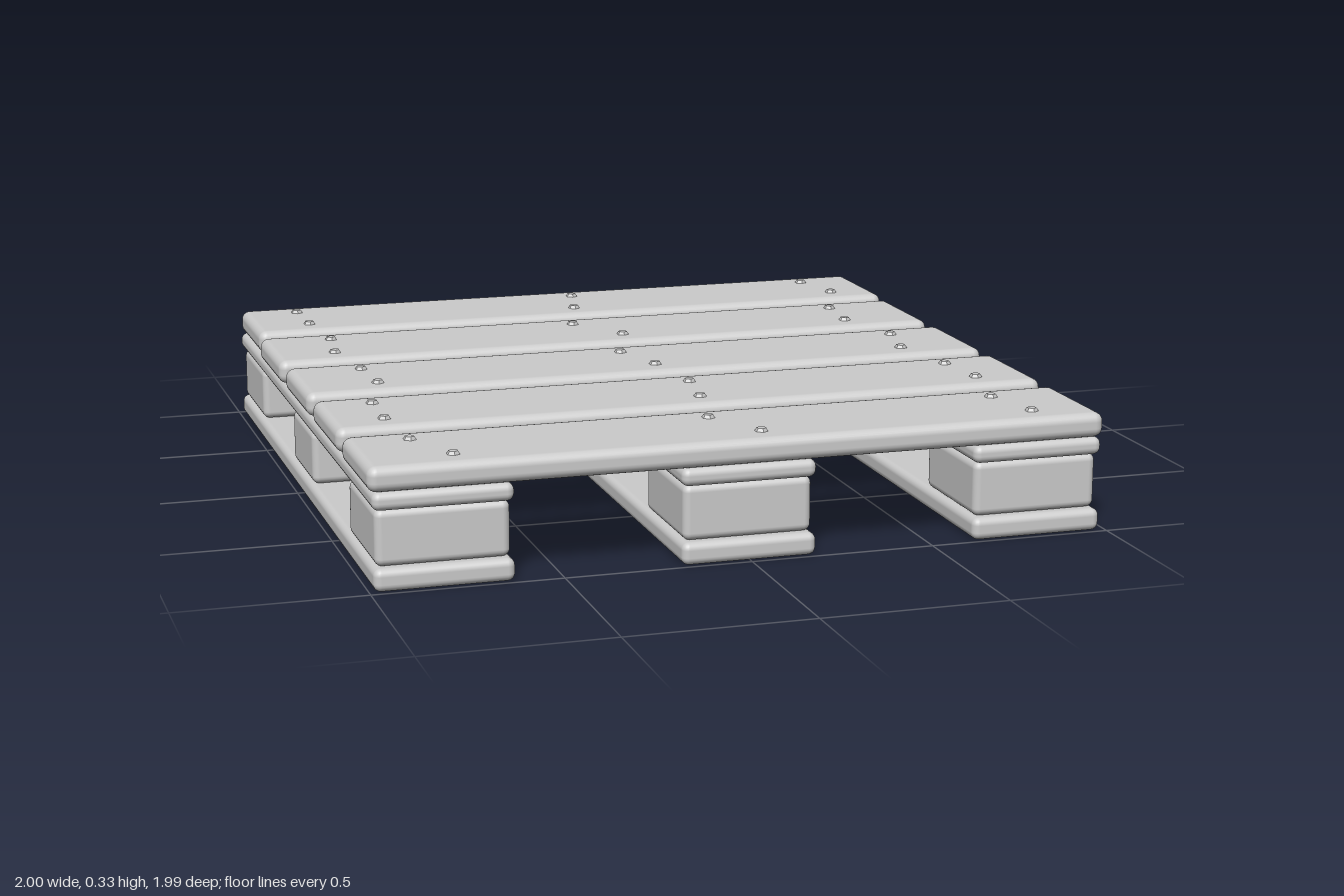
import * as THREE from 'three';
import { RoundedBoxGeometry } from 'three/addons/geometries/RoundedBoxGeometry.js';

const material = new THREE.MeshStandardMaterial({ color: 0xcccccc });
const nailMaterial = new THREE.MeshStandardMaterial({ color: 0xcccccc, flatShading: true });

// Rounded timber given by its centre in x and z, its bottom and top heights
function timber(name, width, depth, bottom, top, x, z, radius) {
  const geometry = new RoundedBoxGeometry(width, top - bottom, depth, 3, radius);
  const mesh = new THREE.Mesh(geometry, material);
  mesh.name = name;
  mesh.position.set(x, (bottom + top) / 2, z);
  return mesh;
}

export function createModel() {
  const pallet = new THREE.Group();
  pallet.name = 'pallet';

  // Three runners: bottom plank, three blocks, upper stringer
  for (const x of [-0.807, -0.003, 0.8]) {
    const runner = new THREE.Group();
    runner.name = 'runner';
    runner.add(timber('bottomPlank', 0.364, 1.99, 0, 0.06, x, 0, 0.02));
    runner.add(timber('upperStringer', 0.364, 1.985, 0.208, 0.256, x, 0, 0.02));
    for (const [z, depth] of [[-0.807, 0.33], [0, 0.296], [0.81, 0.33]]) {
      runner.add(timber('block', 0.348, depth, 0.06, 0.208, x, z, 0.02));
    }
    pallet.add(runner);
  }

  // Deck boards, back to front, each slightly shifted sideways
  const shifts = [0.007, -0.006, -0.004, -0.004, -0.007];
  // Nail x positions: back row then front row of every board
  const nails = [
    [[-0.826, 0.051, 0.82], [-0.82, 0.01, 0.858]],
    [[-0.8, -0.06, 0.765], [-0.823, 0.045, 0.749]],
    [[-0.794, -0.032, 0.805], [-0.783, 0.019, 0.767]],
    [[-0.848, 0.045, 0.807], [-0.853, 0.019, 0.826]],
    [[-0.837, -0.035, 0.77], [-0.765, 0.051, 0.81]],
  ];
  const nailGeometry = new THREE.CylinderGeometry(0.013, 0.021, 0.014, 6);

  shifts.forEach((shift, i) => {
    const z = (i - 2) * 0.4125;
    const deck = new THREE.Group();
    deck.name = 'deckRow';
    deck.add(timber('deckBoard', 1.986, 0.343, 0.256, 0.323, shift, z, 0.025));
    nails[i].forEach((row, j) => {
      for (const x of row) {
        const nail = new THREE.Mesh(nailGeometry, nailMaterial);
        nail.name = 'nailHead';
        nail.position.set(x, 0.325, z + (j ? 0.089 : -0.088));
        deck.add(nail);
      }
    });
    pallet.add(deck);
  });

  return pallet;
}
